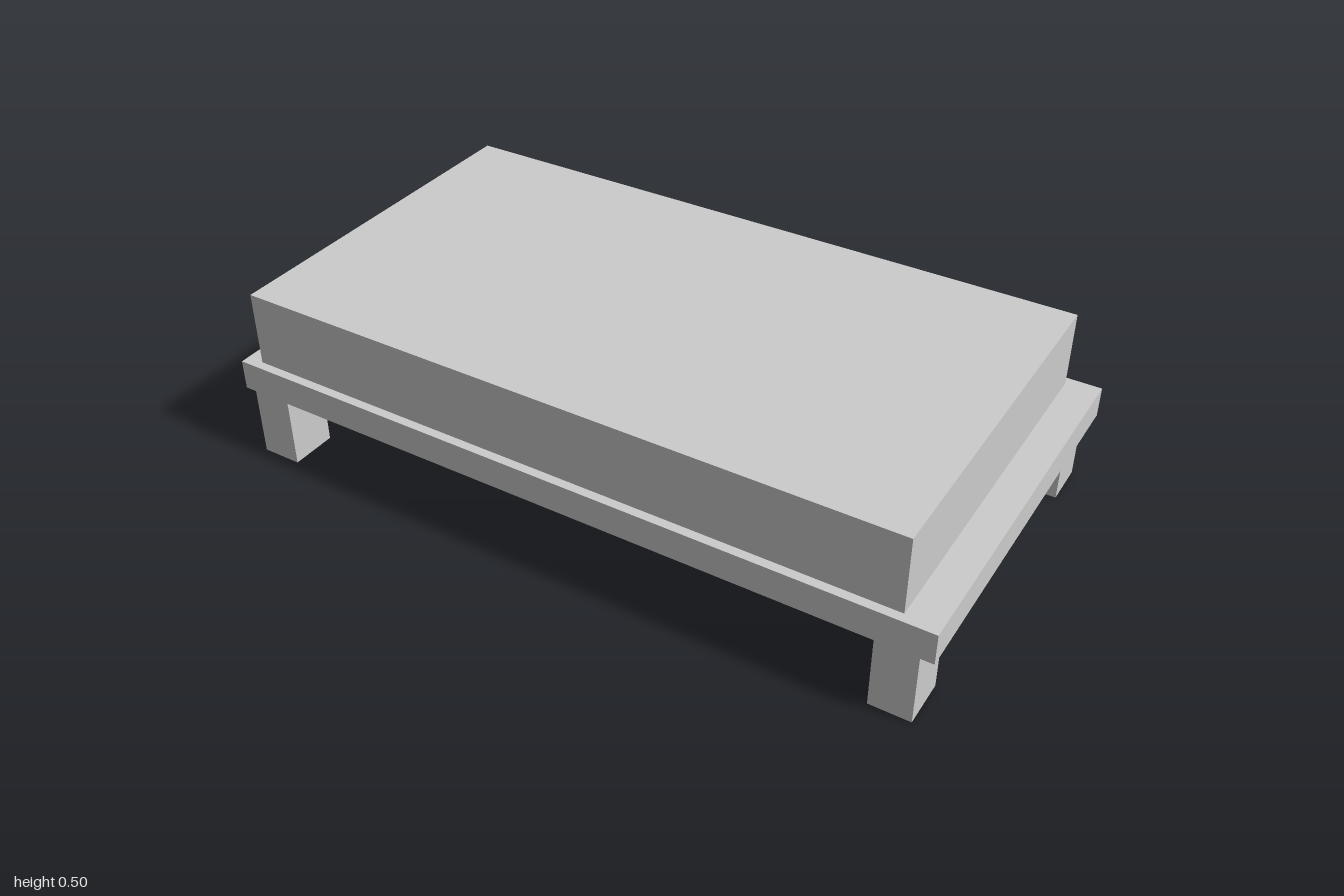
import * as THREE from 'three';

const material = new THREE.MeshStandardMaterial({ color: 0xcccccc, flatShading: true });

// Box given by its extents along each axis
function box(name, [x0, x1], [y0, y1], [z0, z1]) {
  const mesh = new THREE.Mesh(new THREE.BoxGeometry(x1 - x0, y1 - y0, z1 - z0), material);
  mesh.position.set((x0 + x1) / 2, (y0 + y1) / 2, (z0 + z1) / 2);
  mesh.name = name;
  return mesh;
}

// Closed rectangle around the origin, added to a shape or a hole
function rectangle(path, halfX, halfY) {
  path.moveTo(-halfX, -halfY);
  path.lineTo(halfX, -halfY);
  path.lineTo(halfX, halfY);
  path.lineTo(-halfX, halfY);
  path.closePath();
  return path;
}

export function createModel() {
  const group = new THREE.Group();
  group.name = 'bed';
  const frameBottom = 0.265, frameTop = 0.35;

  // Open bed frame, a flat ring of boards
  const outline = rectangle(new THREE.Shape(), 1, 0.535);
  outline.holes.push(rectangle(new THREE.Path(), 0.805, 0.387));
  const frameGeometry = new THREE.ExtrudeGeometry(outline, {
    depth: frameTop - frameBottom,
    bevelEnabled: false,
  });
  frameGeometry.rotateX(-Math.PI / 2);
  const frame = new THREE.Mesh(frameGeometry, material);
  frame.position.y = frameBottom;
  frame.name = 'frame';
  group.add(frame);

  // Mattress, set slightly toward the right end
  group.add(box('mattress', [-0.95, 0.91], [frameTop, 0.56], [-0.51, 0.51]));

  // Four square legs at the corners
  for (const [sideName, xs] of [['Left', [0.855, 0.965]], ['Right', [-0.97, -0.857]]]) {
    for (const [endName, zs] of [['front', [0.4, 0.532]], ['back', [-0.528, -0.4]]]) {
      group.add(box(`${endName}${sideName}Leg`, xs, [0.065, frameBottom], zs));
    }
  }

  return group;
}
